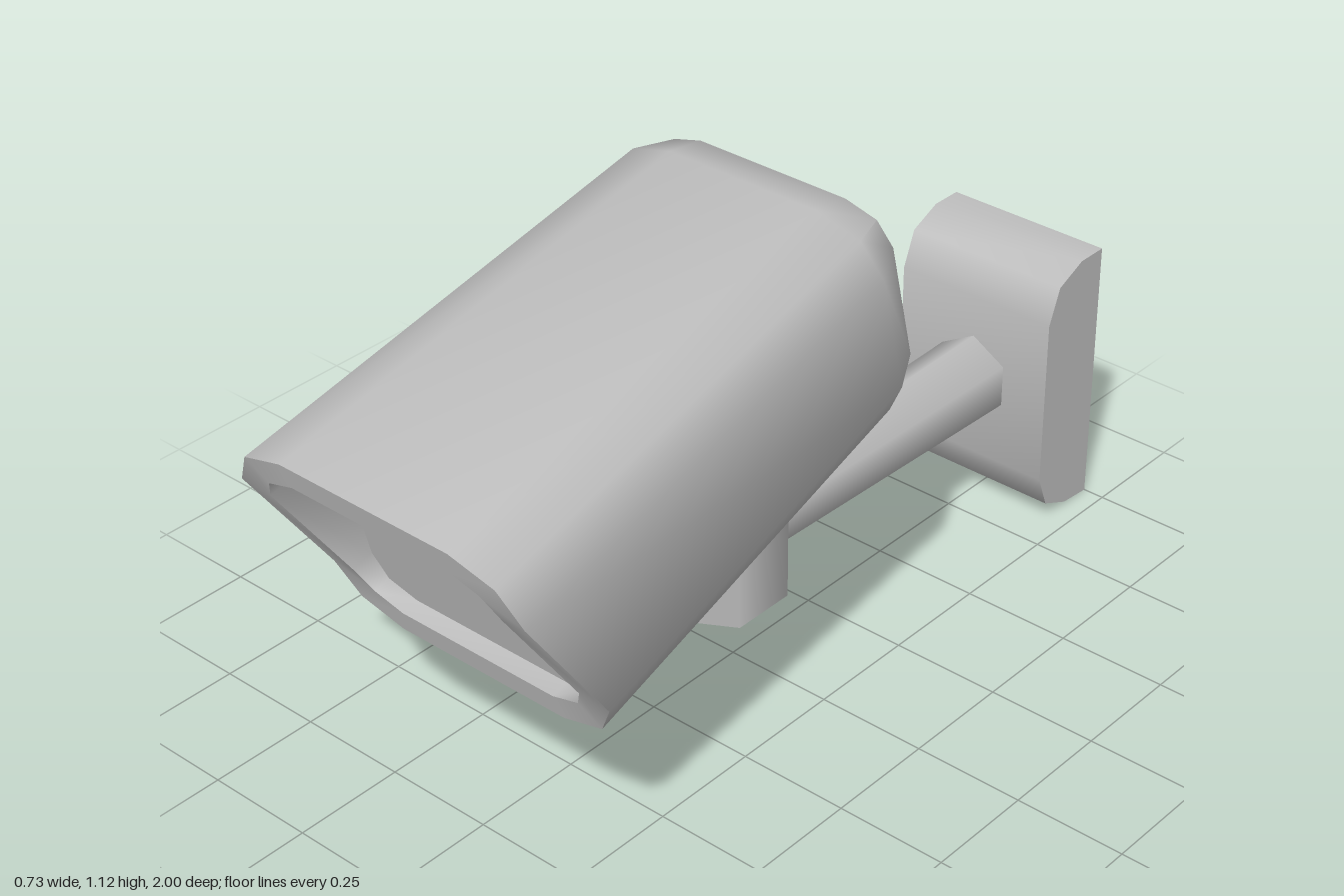
import * as THREE from 'three';
import { toCreasedNormals } from 'three/addons/utils/BufferGeometryUtils.js';

const grey = new THREE.MeshStandardMaterial({ color: 0xbcbcbc });
grey.name = 'grey casing';

// Unit vector of the camera axis (pointing forward and down) in the z,y plane.
const AZ = 0.97, AY = -0.243;

// Rounded rectangle of 12 points around the camera axis; u is the distance along
// the axis, v the height across it, uAt gives u for each v.
function ring(hw, hv, cv, rx, rv, uAt) {
  const points = [];
  for (let q = 0; q < 4; q++) {
    const sx = q === 0 || q === 3 ? 1 : -1;
    const sv = q < 2 ? 1 : -1;
    for (let k = 0; k < 3; k++) {
      const a = (q * 2 + k) * Math.PI / 4;
      const x = sx * (hw - rx) + rx * Math.cos(a);
      const v = cv + sv * (hv - rv) + rv * Math.sin(a);
      const u = uAt(v);
      points.push([x, AY * u + AZ * v, AZ * u - AY * v]);
    }
  }
  return points;
}

// Skin consecutive rings, closing the first and last with fans.
function loft(rings) {
  const n = rings[0].length;
  const index = [];
  for (let r = 0; r < rings.length - 1; r++) {
    for (let i = 0; i < n; i++) {
      const j = (i + 1) % n;
      const a = r * n + i, b = r * n + j, c = b + n, d = a + n;
      index.push(a, b, c, a, c, d);
    }
  }
  const last = (rings.length - 1) * n;
  for (let i = 1; i < n - 1; i++) {
    index.push(0, i + 1, i);
    index.push(last, last + i, last + i + 1);
  }
  const g = new THREE.BufferGeometry();
  g.setAttribute('position', new THREE.Float32BufferAttribute(rings.flat(2), 3));
  g.setIndex(index);
  return toCreasedNormals(g, 0.9);
}

export function createModel() {
  const model = new THREE.Group();
  model.name = 'wallCamera';

  const add = (name, geometry, x = 0, y = 0, z = 0) => {
    const mesh = new THREE.Mesh(geometry, grey);
    mesh.name = name;
    mesh.position.set(x, y, z);
    model.add(mesh);
    return mesh;
  };

  // Camera housing: rounded back, slanted hood and recessed front window
  const slant = v => THREE.MathUtils.clamp(
    THREE.MathUtils.mapLinear(v, 0.647, 0.977, 0.627, 0.752), 0.62, 0.757);
  add('cameraHousing', loft([
    ring(0.185, 0.138, 0.828, 0, 0, () => -0.414),
    ring(0.29, 0.219, 0.828, 0.105, 0.081, () => -0.381),
    ring(0.335, 0.253, 0.828, 0.15, 0.115, () => -0.295),
    ring(0.365, 0.2825, 0.8115, 0.15, 0.115, slant),
    ring(0.30, 0.23, 0.8115, 0.10, 0.08, slant),
    ring(0.30, 0.23, 0.8115, 0.10, 0.08, () => 0.58),
  ]));

  // Six-sided swivel under the housing
  add('swivelBase', new THREE.CylinderGeometry(0.151, 0.151, 0.249, 6), 0, 0.3225, 0.054);
  add('swivelNeck', new THREE.CylinderGeometry(0.157, 0.135, 0.146, 6), 0, 0.518, 0.054);

  // Tapered six-sided arm, wider towards the wall
  const arm = new THREE.CylinderGeometry(0.098, 0.08, 0.87, 6);
  arm.rotateX(-Math.PI / 2);
  add('arm', arm, 0, 0.318, -0.39);

  // Wall plate with rounded top and bottom front edges
  const side = new THREE.Shape([
    [-1, 0], [-0.92, 0.007], [-0.845, 0.04], [-0.815, 0.118],
    [-0.815, 0.515], [-0.848, 0.598], [-0.925, 0.632], [-1, 0.632],
  ].map(([z, y]) => new THREE.Vector2(z, y)));
  const plate = new THREE.ExtrudeGeometry(side, { depth: 0.4, bevelEnabled: false });
  plate.rotateY(-Math.PI / 2);
  plate.translate(0.2, 0, 0);
  add('wallPlate', toCreasedNormals(plate, 0.9));

  return model;
}
